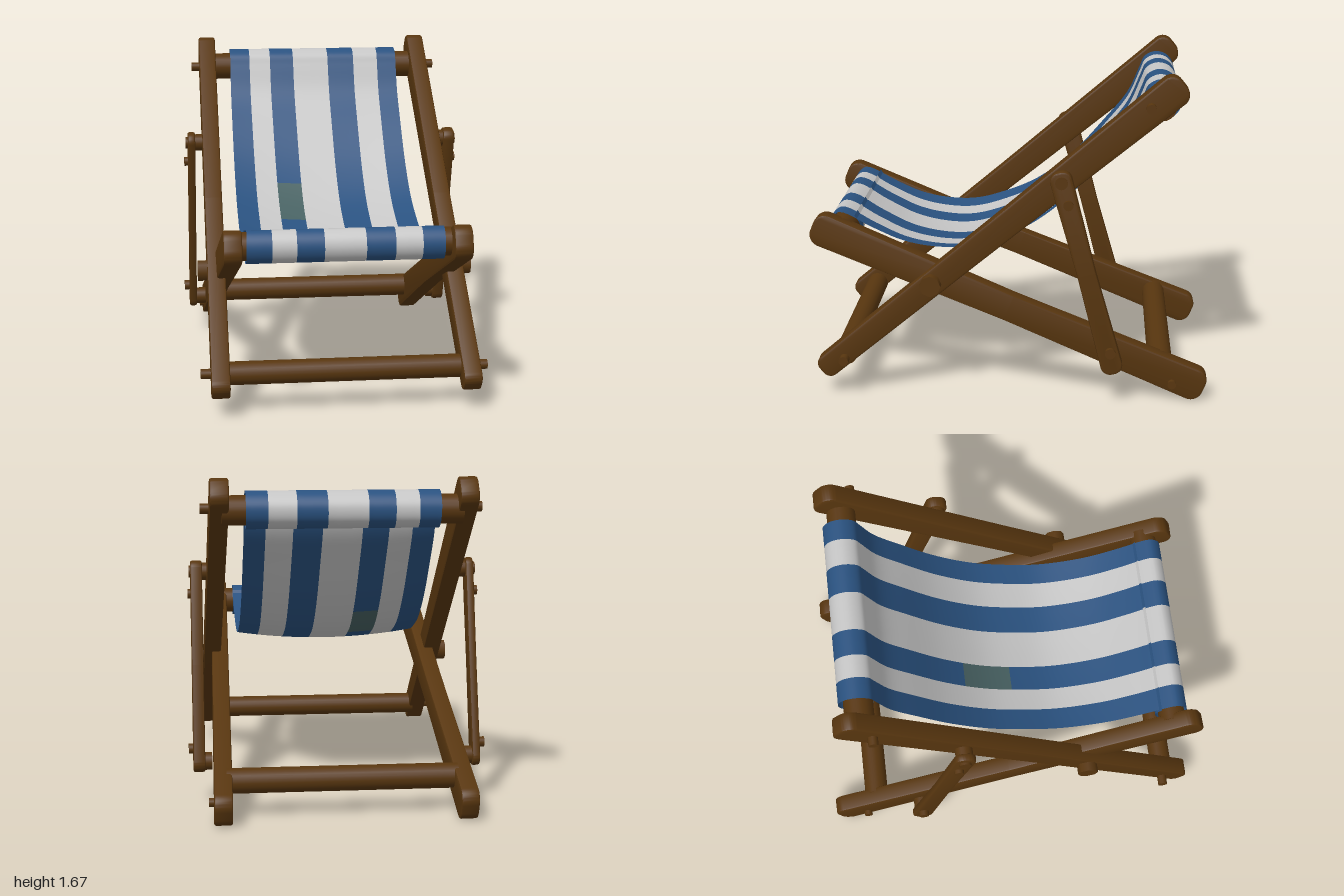
import * as THREE from 'three';
import { toCreasedNormals } from 'three/addons/utils/BufferGeometryUtils.js';

const flat = (name, color, side = THREE.FrontSide) =>
  Object.assign(new THREE.MeshStandardMaterial({ color, side }), { name });

export function createModel() {
  const model = new THREE.Group();
  model.name = 'deckChair';
  const wood = flat('brown wood', 0x58360f);
  const blue = flat('blue canvas', 0x2a5280, THREE.DoubleSide);
  const white = flat('white canvas', 0xc6c6c6, THREE.DoubleSide);
  const worn = flat('worn grey green canvas', 0x486263, THREE.DoubleSide);

  function add(name, geometry, material = wood) {
    const mesh = new THREE.Mesh(geometry, material);
    mesh.name = name;
    model.add(mesh);
    return mesh;
  }

  // Plank with rounded ends; a and b are end centres, r0, rm, r1 half widths along it
  function plank(name, a, b, r0, rm, r1, thick, round = 0.7) {
    const p = new THREE.Vector3(...a), q = new THREE.Vector3(...b);
    const bev = 0.01, L = p.distanceTo(q), H = Math.PI / 2;
    const [e0, em, e1] = [r0 - bev, rm - bev, r1 - bev];
    const c0 = e0 * round, c1 = e1 * round;
    const s = new THREE.Shape();
    s.absarc(-e0 + c0, e0 - c0, c0, H, 2 * H);
    s.absarc(-e0 + c0, -e0 + c0, c0, 2 * H, 3 * H);
    s.lineTo(L / 2, -em);
    s.absarc(L + e1 - c1, -e1 + c1, c1, -H, 0);
    s.absarc(L + e1 - c1, e1 - c1, c1, 0, H);
    s.lineTo(L / 2, em);
    s.closePath();
    const g = new THREE.ExtrudeGeometry(s, {
      depth: thick - 2 * bev, bevelSize: bev, bevelThickness: bev, bevelSegments: 2, curveSegments: 6,
    });
    g.translate(0, 0, -thick / 2 + bev);
    const u = q.clone().sub(p).normalize();
    const v = new THREE.Vector3(1, 0, 0).cross(u).normalize();
    const w = u.clone().cross(v);
    g.applyMatrix4(new THREE.Matrix4().makeBasis(u, v, w).setPosition(p));
    return add(name, toCreasedNormals(g, 0.6));
  }

  // Round bar along x
  function bar(name, x0, x1, y, z, r, sides = 20) {
    const g = new THREE.CylinderGeometry(r, r, Math.abs(x1 - x0), sides);
    g.rotateZ(Math.PI / 2);
    g.translate((x0 + x1) / 2, y, z);
    return add(name, g);
  }

  // Side frames, props and bolts
  for (const side of [1, -1]) {
    const n = side > 0 ? 'left' : 'right';
    const X = (x) => side * x - 0.007;
    plank(n + 'BackRail', [X(0.618), 0.16, 0.91], [X(0.6), 1.575, -0.79], 0.06, 0.066, 0.08, 0.092);
    plank(n + 'SeatRail', [X(0.556), 0.84, 0.915], [X(0.598), 0.09, -0.915], 0.085, 0.07, 0.085, 0.09);

    const thick = side > 0 ? 0.06 : 0.04, px = side > 0 ? 0.705 : 0.71;
    plank(n + 'Prop', [X(px), 0.215, -0.52], [X(px), 1.15, -0.265], 0.055, 0.047, 0.055, thick, 0.85);
    bar(n + 'PropTopSpacer', X(0.64), X(0.705), 1.15, -0.265, 0.045);
    bar(n + 'PropBottomSpacer', X(0.64), X(0.705), 0.215, -0.52, 0.045);

    bar(n + 'PivotBlock', X(0.57), X(0.705), 0.6, 0.39, 0.054, 8);
    bar(n + 'TopBolt', X(0.6), X(0.69), 1.51, -0.695, 0.025, 12);
    bar(n + 'FrontBolt', X(0.6), X(0.712), 0.195, 0.835, 0.025, 12);
    bar(n + 'RearBolt', X(0.6), X(0.665), 0.085, -0.83, 0.022, 12);
    bar(n + 'PropLowerBolt', X(0.69), X(0.757), 0.28, -0.515, 0.027, 12);
    bar(n + 'PropUpperBolt', X(0.69), X(0.75), 1.04, -0.3, 0.025, 12);
    bar(n + 'PropTopBolt', X(0.69), X(0.742), 1.15, -0.265, 0.032, 12);
  }

  // Cross bars and canvas rollers
  bar('frontCrossBar', -0.6, 0.59, 0.195, 0.84, 0.058);
  bar('rearCrossBar', -0.58, 0.57, 0.175, -0.77, 0.063);
  bar('frontRoller', -0.55, 0.54, 0.835, 0.85, 0.07);
  bar('topRoller', -0.59, 0.58, 1.505, -0.75, 0.073);

  // Canvas profile: round the front roller, down the sag and over the top roller
  const pts = [];
  const wrap = (z, y, r, from, to) => {
    for (let i = 0; i <= 8; i++) {
      const a = THREE.MathUtils.degToRad(from + (to - from) * i / 8);
      pts.push(new THREE.Vector3(0, y + r * Math.sin(a), z + r * Math.cos(a)));
    }
  };
  wrap(0.85, 0.835, 0.085, -230, 75);
  for (const [z, y] of [[0.7, 0.838], [0.55, 0.775], [0.4, 0.747], [0.25, 0.747], [0.1, 0.785],
    [-0.1, 0.87], [-0.3, 1.025], [-0.48, 1.225], [-0.6, 1.375]]) pts.push(new THREE.Vector3(0, y, z));
  wrap(-0.755, 1.507, 0.093, 5, 325);
  const path = new THREE.CatmullRomCurve3(pts, false, 'centripetal').getPoints(150);

  // One stripe of canvas, split by geometry groups where it is worn
  const topX = [-0.47, -0.37, -0.255, -0.125, 0.07, 0.22, 0.36, 0.466];
  const lowX = [-0.5, -0.37, -0.25, -0.115, 0.09, 0.23, 0.36, 0.47];
  const cols = 4;
  for (let k = 0; k < 7; k++) {
    const pos = [], idx = [], g = new THREE.BufferGeometry();
    path.forEach((p, i) => {
      const t = i / (path.length - 1);
      const x0 = THREE.MathUtils.lerp(lowX[k], topX[k], t);
      const x1 = THREE.MathUtils.lerp(lowX[k + 1], topX[k + 1], t);
      const sag = 0.042 * Math.sin(Math.PI * THREE.MathUtils.clamp((0.83 - p.z) / 1.49, 0, 1));
      for (let j = 0; j <= cols; j++) {
        const x = x0 + (x1 - x0) * j / cols;
        pos.push(x, p.y - sag * (1 - (x / 0.49) ** 2), p.z);
      }
      if (i === path.length - 1) return;
      const isWorn = k === 2 && p.z < 0.06 && p.z > -0.18;
      g.addGroup(idx.length, cols * 6, isWorn ? 1 : 0);
      for (let j = 0; j < cols; j++) {
        const a = i * (cols + 1) + j, b = a + cols + 1;
        idx.push(a, a + 1, b, a + 1, b + 1, b);
      }
    });
    g.setAttribute('position', new THREE.Float32BufferAttribute(pos, 3));
    g.setIndex(idx);
    g.computeVertexNormals();
    if (k !== 2) g.clearGroups();
    add('canvasStripe' + (k + 1), g, k === 2 ? [blue, worn] : k % 2 ? white : blue);
  }
  return model;
}
